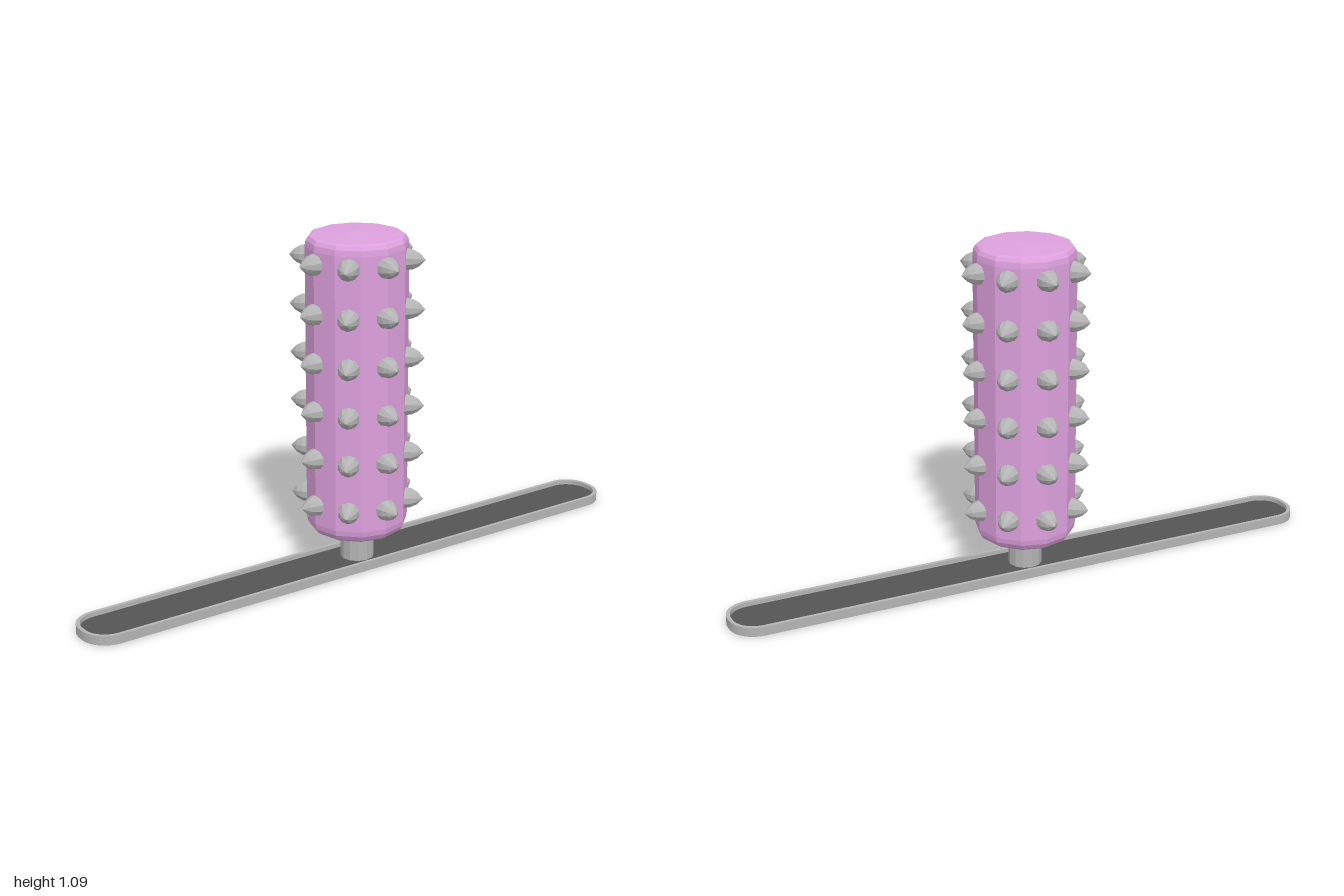
import * as THREE from 'three';

const mat = (color) => new THREE.MeshStandardMaterial({ color, flatShading: true });

// Rounded slot outline, usable as shape or hole
function slot(target, hx, hz, r) {
  target.moveTo(-hx + r, -hz);
  target.lineTo(hx - r, -hz);
  target.absarc(hx - r, -hz + r, r, -Math.PI / 2, 0, false);
  target.absarc(hx - r, hz - r, r, 0, Math.PI / 2, false);
  target.absarc(-hx + r, hz - r, r, Math.PI / 2, Math.PI, false);
  target.absarc(-hx + r, -hz + r, r, Math.PI, Math.PI * 1.5, false);
  return target;
}

// Extrude an outline upward from y0 to y1
function slab(shape, y0, y1) {
  const geo = new THREE.ExtrudeGeometry(shape, { depth: y1 - y0, bevelEnabled: false, curveSegments: 6 });
  return geo.rotateX(-Math.PI / 2).translate(0, y0, 0);
}

const lathe = (points, sides) =>
  new THREE.LatheGeometry(points.map(([r, y]) => new THREE.Vector2(r, y)), sides);

export function createModel() {
  const model = new THREE.Group();
  const metal = mat(0xb4b4b4);
  const plum = mat(0xdda0dd);
  const dark = mat(0x555555);

  const add = (name, geometry, material, parent = model) => {
    const mesh = new THREE.Mesh(geometry, material);
    mesh.name = name;
    parent.add(mesh);
    return mesh;
  };

  // Long base: raised metal rim around a thin dark floor
  const rim = slot(new THREE.Shape(), 1, 0.094, 0.085);
  rim.holes.push(slot(new THREE.Path(), 0.988, 0.082, 0.073));
  add('baseRim', slab(rim, 0, 0.03), metal);
  add('baseFloor', slab(slot(new THREE.Shape(), 0.99, 0.084, 0.075), 0.009, 0.016), dark);

  // Short post carrying the drum
  add('post', new THREE.CylinderGeometry(0.054, 0.054, 0.124, 12).translate(0, 0.07, 0), metal);

  // Faceted drum with rounded ends and a slightly domed top
  add('drum', lathe([
    [0, 0.117], [0.132, 0.117], [0.148, 0.127], [0.158, 0.143], [0.161, 0.16],
    [0.161, 1.05], [0.158, 1.068], [0.15, 1.08], [0.14, 1.084], [0, 1.092],
  ], 12), plum);

  // Bullet-shaped studs: six rows of eight
  const studGeometry = lathe([
    [0, 0.13], [0.035, 0.13], [0.035, 0.155], [0.031, 0.174], [0.021, 0.193], [0, 0.213],
  ], 10).rotateX(Math.PI / 2);
  const studs = new THREE.Group();
  studs.name = 'studs';
  model.add(studs);
  for (let row = 0; row < 6; row++) {
    for (let i = 0; i < 8; i++) {
      const stud = add('stud', studGeometry, metal, studs);
      stud.position.y = 0.225 + row * 0.157;
      stud.rotation.y = (i * Math.PI) / 4;
    }
  }
  return model;
}
